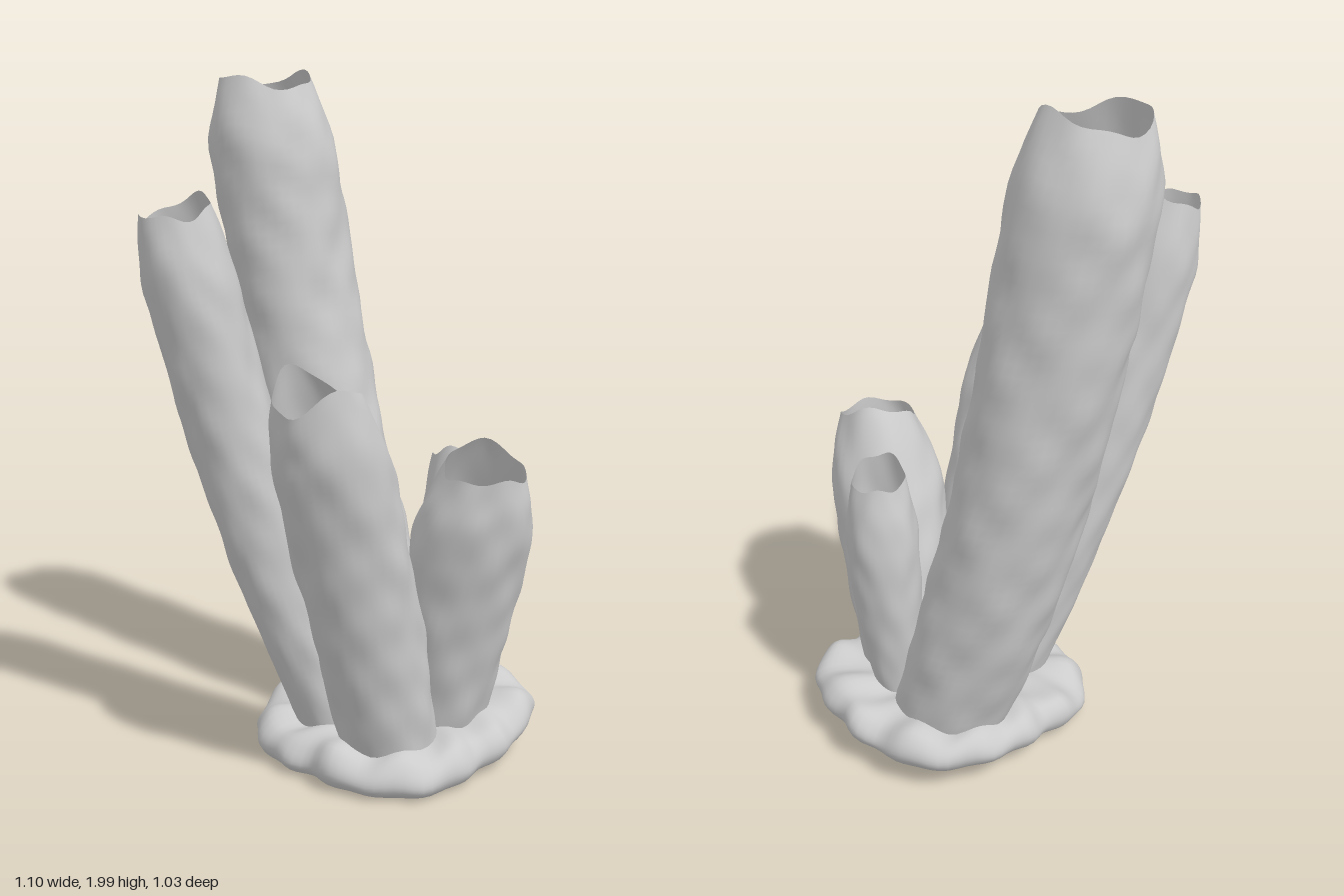
import * as THREE from 'three';

const material = new THREE.MeshStandardMaterial({ color: 0xcccccc, roughness: 0.9, side: THREE.DoubleSide });
const { lerp, smoothstep } = THREE.MathUtils;

// Smooth surface through closed rings; point(rowFraction, angle) gives each vertex
function ringSurface(name, rows, sides, point) {
  const positions = [], index = [];
  for (let i = 0; i <= rows; i++) {
    for (let j = 0; j < sides; j++) {
      positions.push(...point(i / rows, j / sides * Math.PI * 2));
      if (i === rows) continue;
      const a = i * sides + j, b = i * sides + (j + 1) % sides;
      const c = a + sides, d = b + sides;
      index.push(a, c, b, b, c, d);
    }
  }
  const geometry = new THREE.BufferGeometry();
  geometry.setAttribute('position', new THREE.Float32BufferAttribute(positions, 3));
  geometry.setIndex(index);
  geometry.computeVertexNormals();
  const mesh = new THREE.Mesh(geometry, material);
  mesh.name = name;
  return mesh;
}

// Gentle patchy bumps around and along a tube
function bumps(angle, y, seed) {
  return 0.025 * Math.sin(3 * angle + seed) * Math.cos(6 * y + seed)
    + 0.022 * Math.sin(5 * angle + 2 * seed) * Math.sin(15 * y + seed)
    + 0.018 * Math.cos(8 * angle - seed) * Math.sin(27 * y + 3 * seed)
    + 0.008 * Math.sin(40 * y + 2 * Math.sin(2 * angle + seed));
}

// Hollow leaning tube: swells from its foot, rounds in to an uneven mouth
function tube({ name, foot, mouth, bow, radii, swell, high, tilt, wave }, number) {
  const start = new THREE.Vector3(...foot), end = new THREE.Vector3(...mouth);
  const bend = start.clone().lerp(end, 0.5).add(new THREE.Vector3(bow[0], 0, bow[1]));
  const path = new THREE.QuadraticBezierCurve3(start, bend, end);
  const [footRadius, bodyRadius, mouthRadius] = radii;
  const seed = 1 + 1.4 * number;
  return ringSurface(name, 56, 40, (t, angle) => {
    const centre = path.getPoint(t);
    const body = lerp(footRadius, bodyRadius, Math.sin(Math.min(t / swell, 1) * Math.PI / 2));
    const shoulder = Math.sin(Math.min((end.y - centre.y) / 0.24, 1) * Math.PI / 2);
    const r = lerp(mouthRadius, body, shoulder) * (1 + bumps(angle, centre.y, seed));
    const rim = tilt * Math.cos(angle - high) + wave * Math.cos(2 * (angle - high))
      + 0.007 * Math.sin(5 * angle + seed);
    const y = centre.y + rim * smoothstep(t, 0.78, 1);
    return [centre.x + r * Math.cos(angle), y, centre.z + r * Math.sin(angle)];
  });
}

// radii: foot, body, mouth; bow: sideways bend in x and z; high: direction of the rim's peak
const tubes = [
  { name: 'tallTube', foot: [0.02, 0.08, -0.25], mouth: [-0.385, 1.965, -0.165], bow: [-0.13, -0.03],
    radii: [0.165, 0.189, 0.135], swell: 0.3, high: -1.2, tilt: 0.008, wave: 0.024 },
  { name: 'frontLeaningTube', foot: [0.0, 0.08, 0.045], mouth: [-0.3, 1.615, 0.39], bow: [-0.06, 0.03],
    radii: [0.1, 0.13, 0.095], swell: 0.55, high: -1.3, tilt: 0.026, wave: 0.016 },
  { name: 'frontTube', foot: [0.19, 0.07, 0.07], mouth: [0.16, 1.165, 0.4], bow: [0, 0],
    radii: [0.138, 0.16, 0.117], swell: 0.65, high: 3.5, tilt: 0.015, wave: 0.045 },
  { name: 'sideTube', foot: [0.235, 0.08, -0.13], mouth: [0.428, 0.925, -0.02], bow: [-0.03, -0.03],
    radii: [0.135, 0.168, 0.112], swell: 0.7, high: -2.2, tilt: 0.035, wave: 0.016 },
  { name: 'smallBackTube', foot: [0.19, 0.1, -0.25], mouth: [0.21, 0.885, -0.295], bow: [0, -0.015],
    radii: [0.065, 0.105, 0.076], swell: 0.75, high: 1.2, tilt: 0.022, wave: 0.01 },
];

// Lumpy tilted foot with a hollow underside
function base() {
  // outline scale and height, from the hollow, round the lip, to the middle
  const section = new THREE.SplineCurve([
    new THREE.Vector2(0.64, 0.09),
    new THREE.Vector2(0.68, 0.03),
    new THREE.Vector2(0.9, 0.004),
    new THREE.Vector2(1.0, 0.04),
    new THREE.Vector2(0.97, 0.085),
    new THREE.Vector2(0.84, 0.115),
    new THREE.Vector2(0.5, 0.115),
    new THREE.Vector2(0, 0.115),
  ]);
  return ringSurface('base', 32, 96, (t, angle) => {
    const { x: s, y: h } = section.getPoint(t);
    const outline = 0.4 + 0.02 * Math.cos(4 * (angle - 1)) - 0.01 * (Math.cos(2 * angle) + Math.sin(angle));
    const ripple = 0.02 * Math.sin(11 * angle + 1) * Math.cos(2 * angle) + 0.014 * Math.sin(17 * angle);
    const r = s * outline * (1 + s * s * ripple);
    const x = 0.1 + r * Math.cos(angle), z = -0.1 + r * Math.sin(angle);
    const lump = 1 + s * s * (0.14 * Math.sin(8 * angle + 5 * s) * Math.cos(angle + 1)
      + 0.12 * Math.sin(13 * angle - 6 * s));
    const wave = 0.009 * s * (1 + Math.sin(3 * angle + 3.3));
    return [x, Math.max(0, h * lump + wave + 0.1 * (0.29 - z)), z];
  });
}

export function createModel() {
  const group = new THREE.Group();
  group.name = 'tubeCluster';
  group.add(base(), ...tubes.map(tube));
  return group;
}
